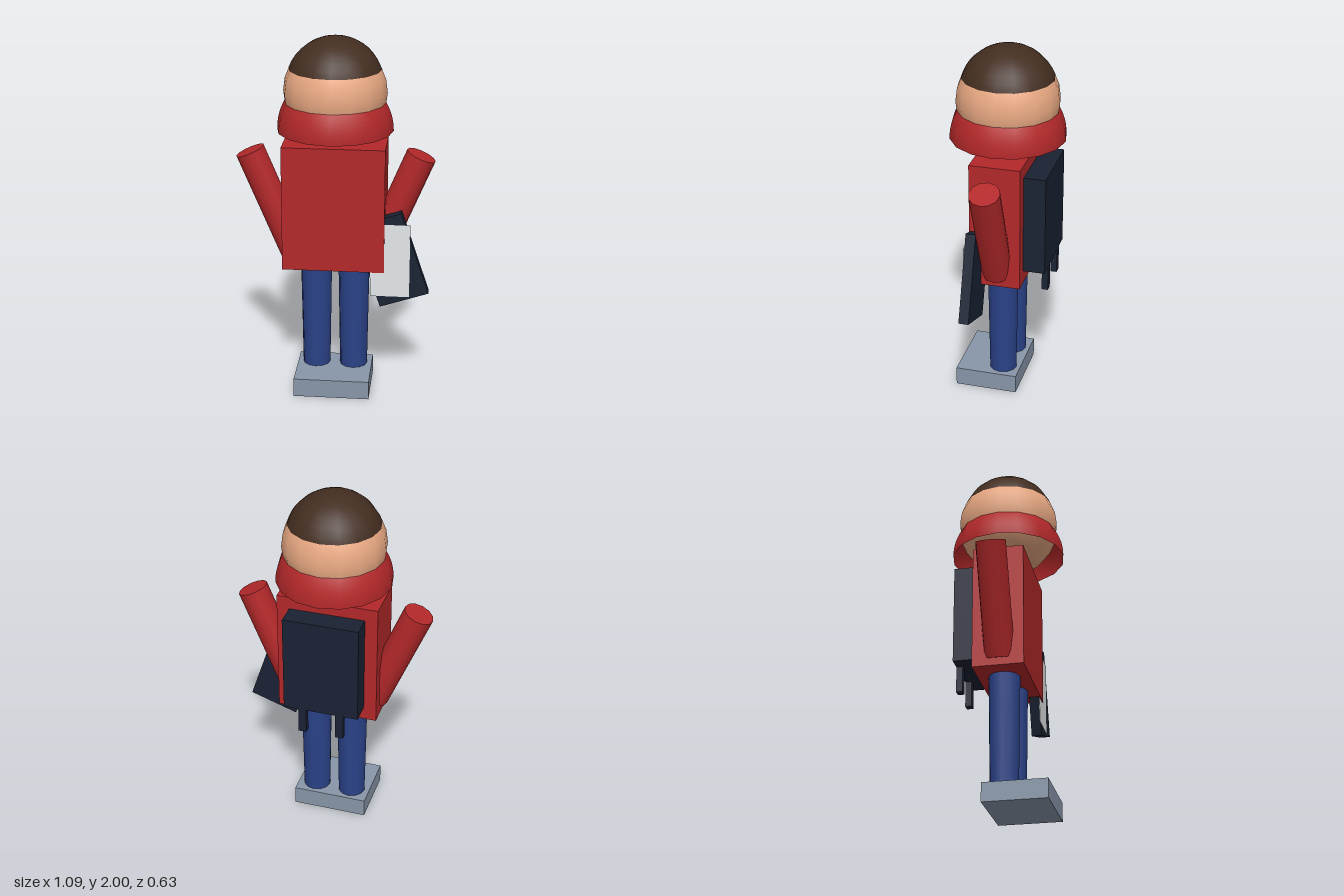
import * as THREE from 'three';

const COLORS = {
  red: 0xb3282a, skin: 0xe9a983, hair: 0x432d20, blue: 0x2a4288,
  navy: 0x1a2233, grey: 0x8896a8, paper: 0xe4e7ea,
};

export function createModel() {
  const model = new THREE.Group();
  model.name = 'figure';

  const add = (name, geometry, color, x, y, z, rotZ = 0) => {
    const material = new THREE.MeshStandardMaterial({ color: COLORS[color] });
    const mesh = new THREE.Mesh(geometry, material);
    mesh.name = name;
    mesh.position.set(x, y, z);
    mesh.rotation.z = rotZ;
    model.add(mesh);
    return mesh;
  };
  const box = (w, h, d) => new THREE.BoxGeometry(w, h, d);

  // Base block and torso
  add('feet', box(0.42, 0.105, 0.35), 'grey', 0, 0.0525, 0.075);
  add('torso', box(0.56, 0.7, 0.28), 'red', 0, 1.07, 0);

  // Limbs and backpack straps, mirrored left and right
  for (const [side, s] of [['left', 1], ['right', -1]]) {
    add(side + 'Leg', new THREE.CylinderGeometry(0.087, 0.077, 0.64, 12), 'blue', s * 0.105, 0.41, 0);
    add(side + 'Arm', new THREE.CylinderGeometry(0.083, 0.083, 0.62, 12), 'red', s * 0.347, 1.071, 0, -s * 0.395);
    add(side + 'Strap', box(0.045, 0.3, 0.035), 'navy', s * 0.105, 0.8, -0.2425);
  }

  // Head with a hair cap that meets it at the hairline
  add('head', new THREE.SphereGeometry(0.28, 16, 12), 'skin', 0, 1.7, 0);
  add('hair', new THREE.SphereGeometry(0.266, 16, 8, 0, Math.PI * 2, 0, 1.22), 'hair', 0, 1.734, 0)
    .material.side = THREE.DoubleSide;

  // Scarf: an open flared band, the lower zone of a hemisphere
  add('scarf', new THREE.SphereGeometry(0.315, 16, 6, 0, Math.PI * 2, Math.PI / 3, Math.PI / 6), 'red', 0, 1.49, 0)
    .material.side = THREE.DoubleSide;

  // Backpack
  add('backpack', box(0.42, 0.555, 0.121), 'navy', 0, 1.0725, -0.2);

  // Tilted board with an upright sheet on its face
  add('board', box(0.28, 0.487, 0.055), 'navy', 0.315, 0.791, 0.1045, 0.325);
  add('paperSheet', box(0.215, 0.42, 0.003), 'paper', 0.3125, 0.79, 0.132);

  return model;
}
